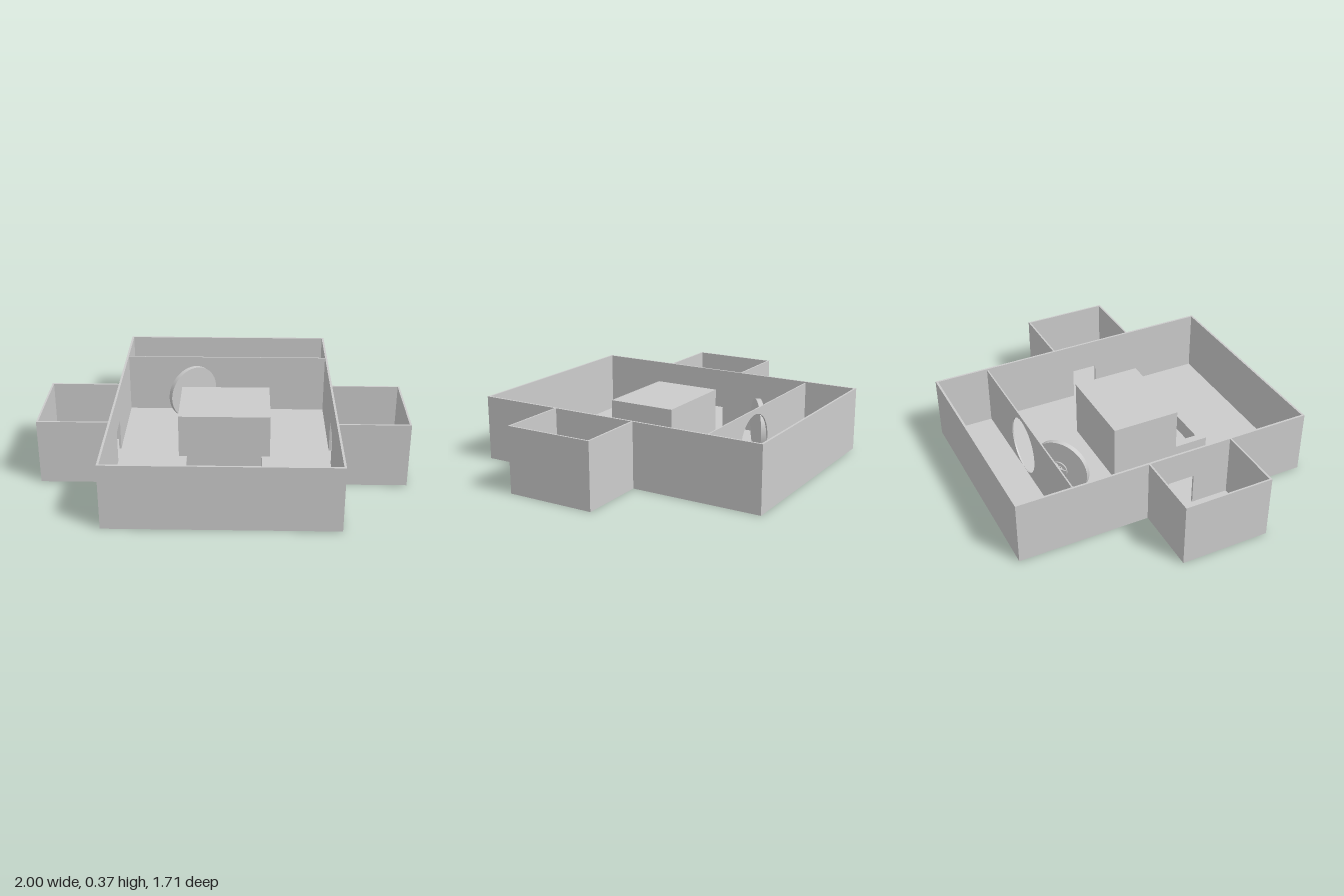
import * as THREE from 'three';

export function createModel() {
  const model = new THREE.Group();
  const mat = new THREE.MeshStandardMaterial({ color: 0xcccccc });
  const H = 0.365, FLOOR = 0.008;

  const add = (name, geo, parent = model) => {
    const m = new THREE.Mesh(geo, mat);
    m.name = name;
    parent.add(m);
    return m;
  };
  // Box given by its limits on each axis
  const block = (name, x0, x1, y0, y1, z0, z1) =>
    add(name, new THREE.BoxGeometry(x1 - x0, y1 - y0, z1 - z0))
      .position.set((x0 + x1) / 2, (y0 + y1) / 2, (z0 + z1) / 2);
  const polygon = (pts) => new THREE.Shape(pts.map((p) => new THREE.Vector2(...p)));

  // Main hall floor and end walls
  block('hallFloor', -0.61, 0.61, 0, FLOOR, -0.855, 0.855);
  block('frontWall', -0.603, 0.603, 0, H, 0.843, 0.855);
  block('backWall', -0.603, 0.603, 0, H, -0.855, -0.843);

  // Long walls with a doorway, and the small side rooms
  for (const s of [-1, 1]) {
    const side = s > 0 ? 'left' : 'right';
    const span = (name, a, b, y0, y1, z0, z1) =>
      block(side + name, Math.min(s * a, s * b), Math.max(s * a, s * b), y0, y1, z0, z1);

    // Shape x runs along -z, so the doorway spans z 0.01 to 0.16
    const wallShape = polygon([
      [-0.855, 0], [-0.16, 0], [-0.16, 0.19], [-0.01, 0.19],
      [-0.01, 0], [0.855, 0], [0.855, H], [-0.855, H],
    ]);
    const geo = new THREE.ExtrudeGeometry(wallShape, { depth: 0.012, bevelEnabled: false });
    geo.translate(0, 0, -0.006).rotateY(Math.PI / 2);
    add(side + 'LongWall', geo).position.x = s * 0.609;

    span('RoomFloor', 0.61, 1, 0, FLOOR, -0.115, 0.385);
    span('RoomEndWall', 0.99, 1, 0, H, -0.115, 0.385);
    span('RoomFrontWall', 0.612, 0.99, 0, H, 0.375, 0.385);
    span('RoomBackWall', 0.612, 0.99, 0, H, -0.115, -0.105);
  }

  // Partition with a round opening
  const partition = polygon([[-0.604, FLOOR], [0.604, FLOOR], [0.604, 0.358], [-0.604, 0.358]]);
  const opening = new THREE.Path();
  opening.absarc(0.07, 0.168, 0.162, 0, Math.PI * 2, true);
  partition.holes.push(opening);
  add('partition', new THREE.ExtrudeGeometry(partition, {
    depth: 0.008, bevelEnabled: false, curveSegments: 32,
  })).position.z = -0.544;

  // Round door, swung open into the hall
  const door = new THREE.Group();
  door.name = 'roundDoor';
  door.position.set(-0.205, 0.172, -0.43);
  door.rotation.y = 0.65;
  model.add(door);
  add('doorDisc', new THREE.CylinderGeometry(0.163, 0.163, 0.028, 48).rotateX(Math.PI / 2), door);
  // Hand wheel on the door
  add('wheelRim', new THREE.TorusGeometry(0.045, 0.004, 8, 32), door).position.z = -0.026;
  add('wheelHub', new THREE.CylinderGeometry(0.012, 0.012, 0.02, 16).rotateX(Math.PI / 2), door)
    .position.z = -0.022;
  for (let i = 0; i < 3; i++) {
    const spoke = add('wheelSpoke', new THREE.BoxGeometry(0.09, 0.006, 0.006), door);
    spoke.position.z = -0.026;
    spoke.rotation.z = (i * Math.PI) / 3;
  }

  // Central block with a low U-shaped counter in front
  block('centralBlock', -0.25, 0.255, FLOOR, 0.342, -0.13, 0.26);
  block('counterRight', -0.25, -0.205, FLOOR, 0.1, 0.26, 0.415);
  block('counterLeft', 0.21, 0.255, FLOOR, 0.1, 0.26, 0.415);
  block('counterFront', -0.25, 0.26, FLOOR, 0.1, 0.415, 0.46);

  return model;
}
